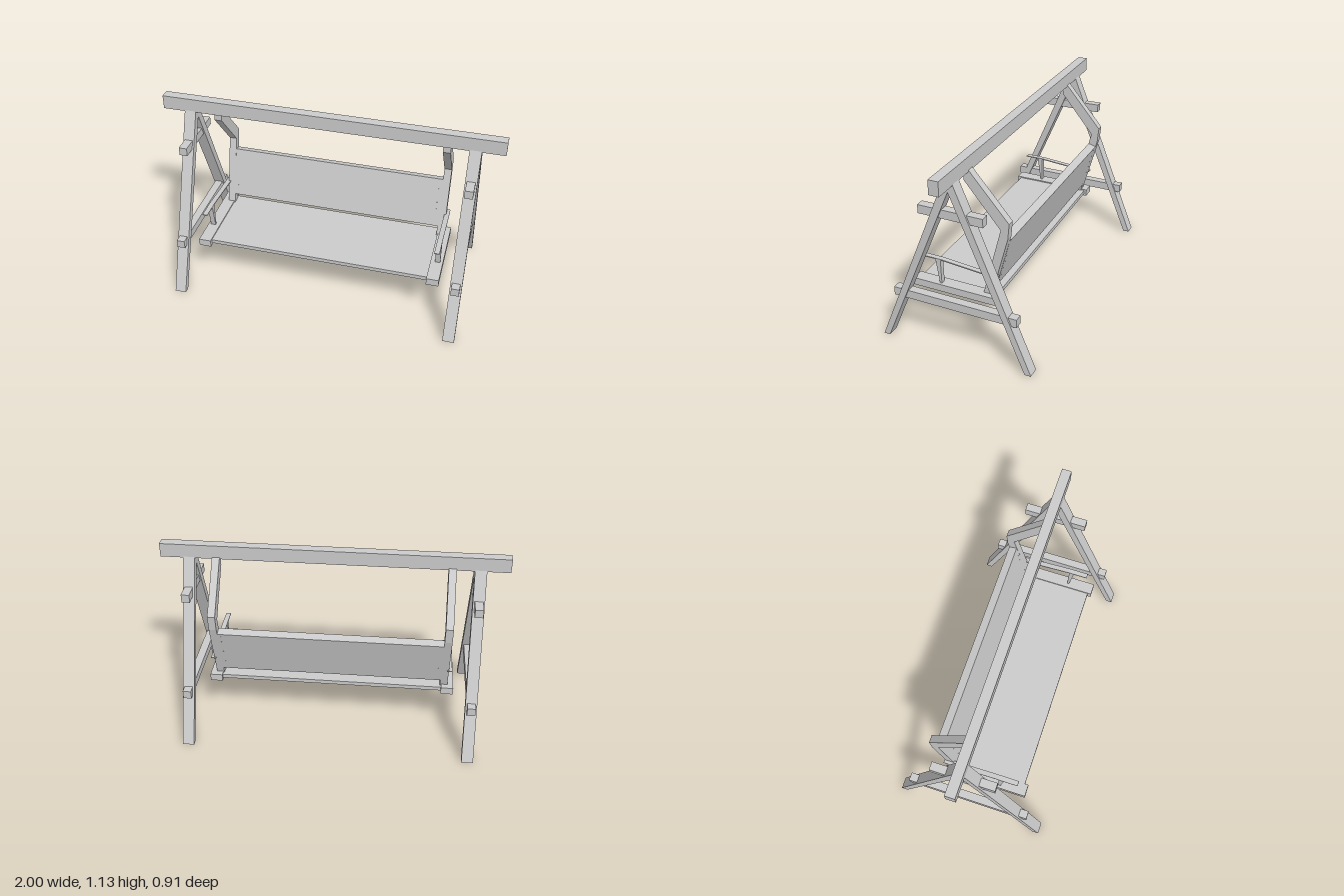
import * as THREE from 'three';

const material = new THREE.MeshStandardMaterial({ color: 0xcccccc });

function add(group, geometry, name) {
  const mesh = new THREE.Mesh(geometry, material);
  mesh.name = name;
  group.add(mesh);
  return mesh;
}

// Box from its limits on each axis
function box(group, name, [x0, x1], [y0, y1], [z0, z1]) {
  const mesh = add(group, new THREE.BoxGeometry(x1 - x0, y1 - y0, z1 - z0), name);
  mesh.position.set((x0 + x1) / 2, (y0 + y1) / 2, (z0 + z1) / 2);
  return mesh;
}

// Side outline given as [z, y] points, extruded across x0..x1
function profile(group, name, points, x0, x1) {
  const shape = new THREE.Shape(points.map(([z, y]) => new THREE.Vector2(z, y)));
  const geometry = new THREE.ExtrudeGeometry(shape, { depth: x1 - x0, bevelEnabled: false });
  geometry.rotateY(-Math.PI / 2).translate(x1, 0, 0);
  return add(group, geometry, name);
}

// Everything that repeats at both ends; s is +1 for left, -1 for right
function addEnd(group, s) {
  const span = (a, b) => (s > 0 ? [a, b] : [-b, -a]);
  const side = s > 0 ? 'left' : 'right';

  // A-frame legs
  const legSpan = span(0.8, 0.868);
  for (const f of [1, -1]) {
    const outline = [[0.42, 0], [0.457, 0], [0.026, 1.06], [0, 1.06], [0, 1.005]];
    profile(group, `${side}${f > 0 ? 'Front' : 'Back'}Leg`,
      outline.map(([z, y]) => [z * f, y]), ...legSpan);
  }

  // Crossbars running through the legs
  const barSpan = span(0.81, 0.858);
  box(group, `${side}LowerCrossbar`, barSpan, [0.285, 0.335], [-0.37, 0.37]);
  box(group, `${side}UpperCrossbar`, barSpan, [0.84, 0.89], [-0.187, 0.187]);

  // Bent hanger from the beam to the back post
  const postSpan = span(0.654, 0.698);
  profile(group, `${side}Hanger`, [
    [-0.022, 1.065], [-0.255, 0.793], [-0.247, 0.702], [-0.205, 0.748], [0, 0.995], [0, 1.06],
  ], ...postSpan);

  // Leaning back post
  profile(group, `${side}BackPost`, [
    [-0.088, 0.287], [-0.133, 0.276], [-0.247, 0.702], [-0.207, 0.75],
  ], ...postSpan);

  // Seat side rail, arm support and thin armrest
  box(group, `${side}SeatRail`, span(0.66, 0.733), [0.289, 0.333], [-0.185, 0.32]);
  const armSpan = span(0.687, 0.717);
  profile(group, `${side}ArmSupport`, [
    [0.15, 0.333], [0.162, 0.333], [0.184, 0.482], [0.153, 0.482],
  ], ...armSpan);
  profile(group, `${side}Armrest`, [
    [0.268, 0.482], [0.268, 0.487], [0.15, 0.487], [-0.12, 0.465], [-0.19, 0.463],
    [-0.19, 0.458], [-0.12, 0.459], [0.15, 0.481],
  ], ...armSpan);
}

export function createModel() {
  const group = new THREE.Group();
  group.name = 'gardenSwing';

  box(group, 'topBeam', [-1, 1], [1.047, 1.13], [-0.029, 0.029]);
  addEnd(group, 1);
  addEnd(group, -1);

  // Seat board between the rails
  box(group, 'seatBoard', [-0.662, 0.662], [0.302, 0.326], [-0.17, 0.298]);

  // Thick backrest leaning with the posts
  profile(group, 'backrest', [
    [-0.112, 0.384], [-0.19, 0.679], [-0.238, 0.666], [-0.16, 0.371],
  ], -0.656, 0.656);

  // Screw heads along both ends of the backrest
  const tilt = Math.atan2(0.078, 0.295);
  for (const x of [-0.635, 0.635]) {
    for (let i = 0; i < 7; i++) {
      const t = (i + 0.5) / 7;
      const screw = add(group, new THREE.CylinderGeometry(0.003, 0.003, 0.052, 8), 'backrestScrew');
      screw.position.set(x, 0.3775 + 0.295 * t, -0.136 - 0.078 * t);
      screw.rotation.x = Math.PI / 2 - tilt;
    }
  }
  return group;
}
